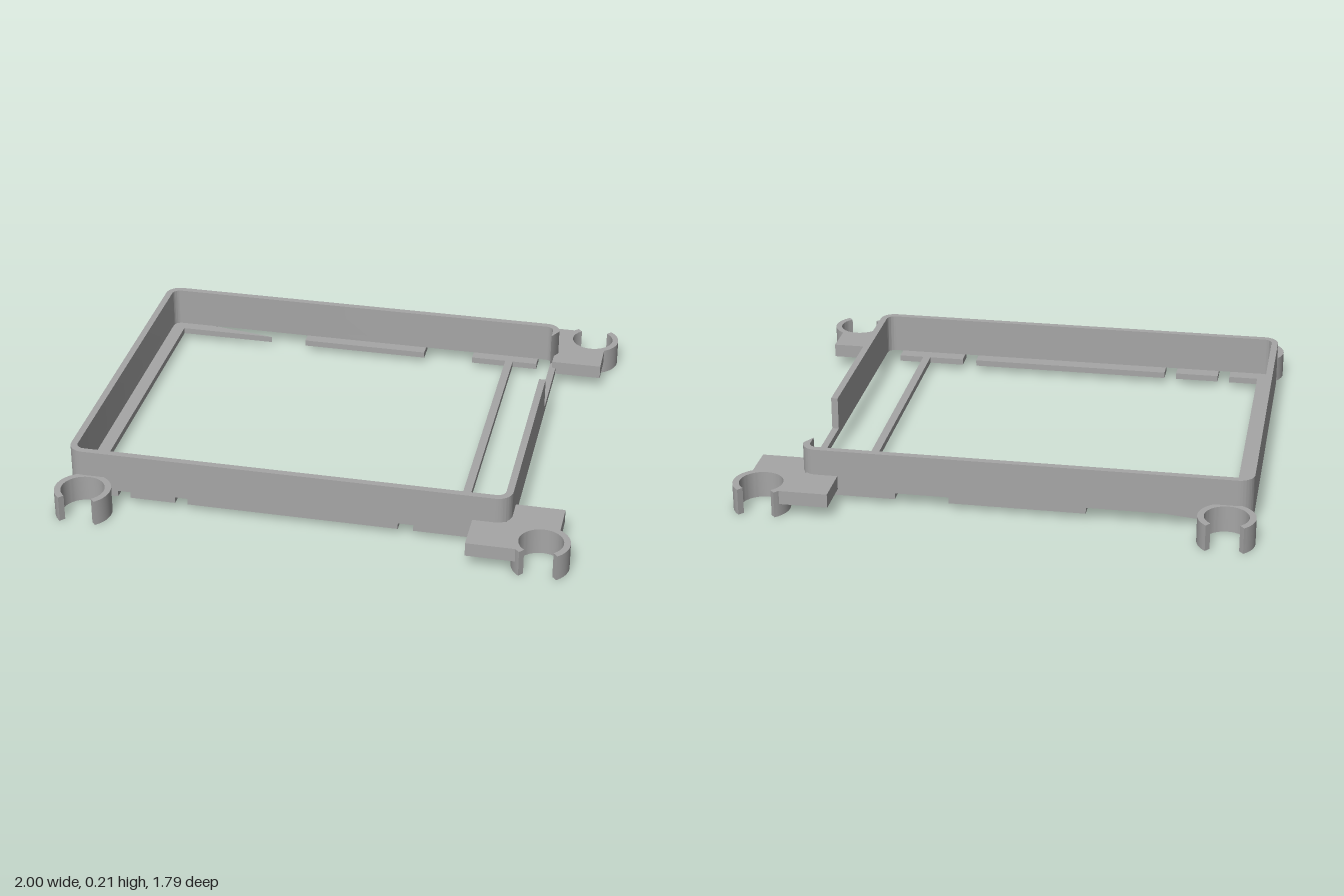
import * as THREE from 'three';
import { toCreasedNormals } from 'three/addons/utils/BufferGeometryUtils.js';

const grey = new THREE.MeshStandardMaterial({ color: 0xa6a6a6 });
grey.name = 'grey plastic';

// Outline limits in plan: x right, v toward the back (v = -z)
const L = -0.98, R = 0.76, F = -0.715, B = 0.72, RAD = 0.06, WALL = 0.027;
const BASE = 0.025, FLOOR = 0.05, STRIP = 0.077, TOP = 0.21, TAB = 0.105;
const Q = Math.PI / 2;

// Raises a plan shape from height y0 to y1
function slab(name, shape, y0, y1) {
  let g = new THREE.ExtrudeGeometry(shape, { depth: y1 - y0, bevelEnabled: false, curveSegments: 24 });
  g.rotateX(-Q);
  g.translate(0, y0, 0);
  const mesh = new THREE.Mesh(toCreasedNormals(g, 0.6), grey);
  mesh.name = name;
  return mesh;
}

function bar(name, x0, x1, v0, v1, y0, y1) {
  const mesh = new THREE.Mesh(new THREE.BoxGeometry(x1 - x0, y1 - y0, v1 - v0), grey);
  mesh.position.set((x0 + x1) / 2, (y0 + y1) / 2, -(v0 + v1) / 2);
  mesh.name = name;
  return mesh;
}

// Adds the four rounded corners of the frame, inset by i, either way round
function corners(path, i, reverse) {
  const r = RAD - i;
  const list = [[R - RAD, B - RAD, 0], [L + RAD, B - RAD, 1], [L + RAD, F + RAD, 2], [R - RAD, F + RAD, 3]];
  if (reverse) list.reverse();
  for (const [x, v, q] of list) {
    if (reverse) path.absarc(x, v, r, (q + 1) * Q, q * Q, true);
    else path.absarc(x, v, r, q * Q, (q + 1) * Q, false);
  }
}

// Low closed ring, and the tall wall with a gap on the left side near the back
function frameWalls() {
  const ring = new THREE.Shape();
  corners(ring, 0, false);
  const hole = new THREE.Path();
  corners(hole, WALL, true);
  ring.holes.push(hole);

  const g0 = 0.23, g1 = 0.61;
  const wall = new THREE.Shape();
  wall.moveTo(R, g1);
  corners(wall, 0, false);
  wall.lineTo(R, g0);
  wall.lineTo(R - WALL, g0);
  corners(wall, WALL, true);
  wall.lineTo(R - WALL, g1);
  return [slab('lowerWall', ring, FLOOR, STRIP), slab('upperWall', wall, STRIP, TOP)];
}

// Bottom ledge: a C-shaped piece plus separate pieces front and back
function ledges() {
  const inB = 0.645, inF = -0.63, inL = -0.9;
  const c = new THREE.Shape();
  c.moveTo(-0.5, B);
  c.absarc(L + RAD, B - RAD, RAD, Q, 2 * Q, false);
  c.absarc(L + RAD, F + RAD, RAD, 2 * Q, 3 * Q, false);
  c.lineTo(-0.78, F);
  c.lineTo(-0.78, inF);
  c.lineTo(inL, inF);
  c.lineTo(inL, inB);
  c.lineTo(-0.5, inB);
  const parts = [slab('cornerLedge', c, BASE, FLOOR)];
  for (const [a, b] of [[-0.35, 0.18], [0.39, 0.67]]) parts.push(bar('backLedge', a, b, inB, B, BASE, FLOOR));
  for (const [a, b] of [[-0.73, -0.55], [-0.5, 0.33], [0.39, 0.67]]) parts.push(bar('frontLedge', a, b, F, inF, BASE, FLOOR));
  parts.push(bar('crossBar', 0.535, 0.567, inF, inB, BASE, FLOOR));
  return parts;
}

// Open snap ring; s = 1 opens to the back, -1 to the front
function clip(x, v, s) {
  const a = 130 * Math.PI / 180, b = 410 * Math.PI / 180;
  const shape = new THREE.Shape();
  shape.absarc(x, v, 0.11, s * a, s * b, s < 0);
  shape.absarc(x, v, 0.085, s * b, s * a, s > 0);
  return slab('clip', shape, 0, TAB);
}

// Flat tab wrapping the frame corner and cut away around the clip
function tab(x, v, s) {
  const p = new THREE.Shape();
  const at = (px, dv) => p.lineTo(px, v + s * dv);
  p.moveTo(0.615, v + s * 0.068);
  at(0.615, -0.107);
  at(0.745, -0.107);
  at(0.745, -0.237);
  at(0.95, -0.237);
  p.absarc(x, v, 0.095, s * -0.89, s * -Math.PI, s > 0);
  at(0.803, 0.068);
  return slab('clipTab', p, FLOOR, TAB);
}

export function createModel() {
  const model = new THREE.Group();
  model.name = 'clipFrame';
  model.add(...frameWalls(), ...ledges());
  for (const s of [1, -1]) {
    const v = s > 0 ? 0.815 : -0.81;
    model.add(clip(-0.89, v, s), clip(0.89, v, s), tab(0.89, v, s));
  }
  return model;
}
